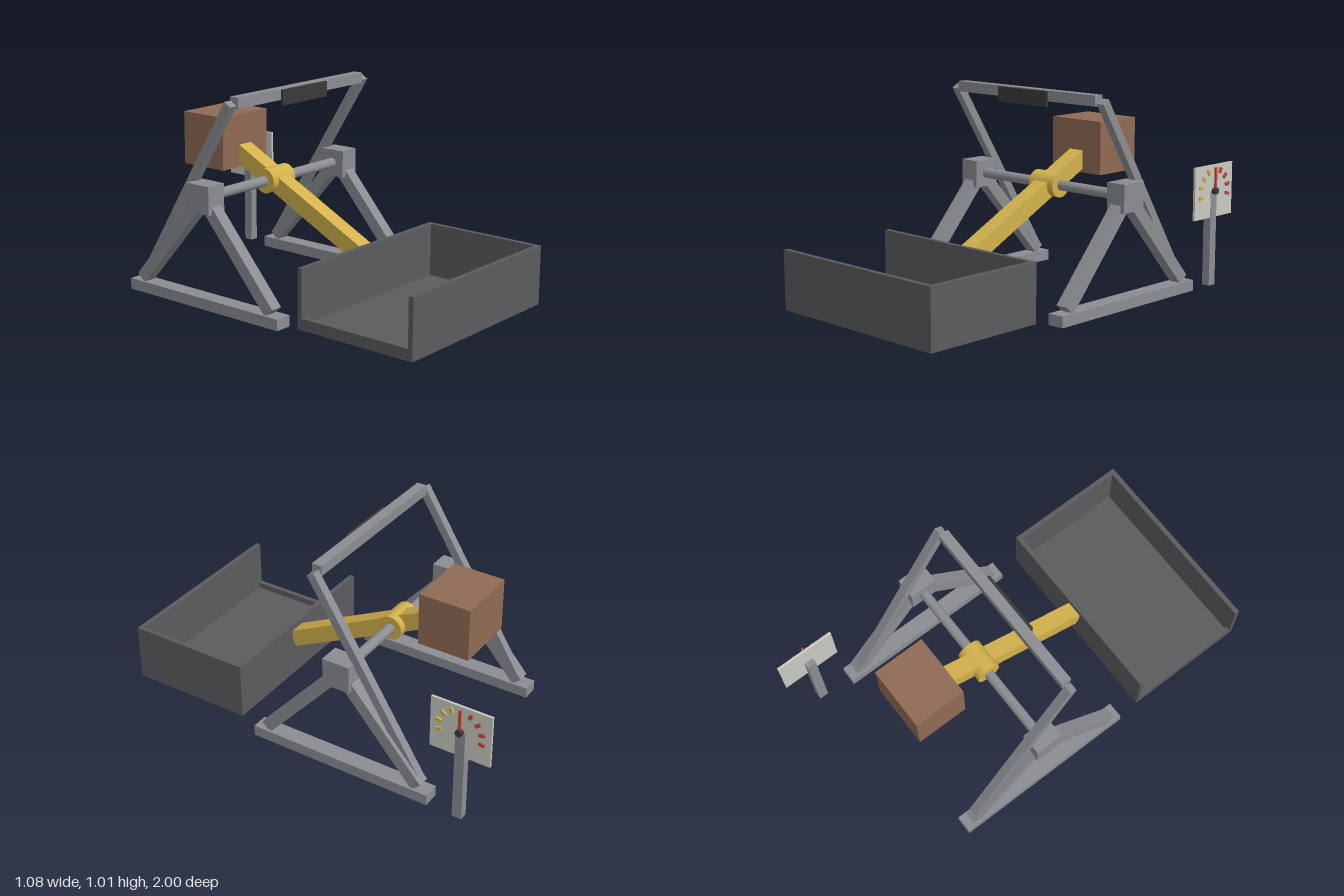
import * as THREE from 'three';

export function createModel() {
  const model = new THREE.Group();
  model.name = 'testRig';
  const mat = (name, color) => {
    const m = new THREE.MeshStandardMaterial({ color });
    m.name = name;
    return m;
  };
  const frameGray = mat('frameGray', 0x8c8d92);
  const trayGray = mat('trayGray', 0x5c5c5f);
  const padBlack = mat('padBlack', 0x3a3a3a);
  const brown = mat('weightBrown', 0x8f6b55);
  const yellow = mat('armYellow', 0xd2b14c);
  const plateWhite = mat('plateWhite', 0xcacac2);
  const red = mat('markRed', 0xc8453c);

  const CX = -0.006;                 // centre line of the frame
  const AXLE = { y: 0.533, z: -0.218 };

  const add = (name, geo, material, x, y, z, parent = model) => {
    const m = new THREE.Mesh(geo, material);
    m.name = name;
    m.position.set(x, y, z);
    parent.add(m);
    return m;
  };
  // box given by its min and max corners
  const box = (name, material, [x0, y0, z0], [x1, y1, z1], parent) =>
    add(name, new THREE.BoxGeometry(x1 - x0, y1 - y0, z1 - z0), material,
      (x0 + x1) / 2, (y0 + y1) / 2, (z0 + z1) / 2, parent);
  // square beam between two [y, z] points
  const beam = (name, material, x, w, [y0, z0], [y1, z1], parent) => {
    const m = add(name, new THREE.BoxGeometry(w, Math.hypot(y1 - y0, z1 - z0), w), material,
      x, (y0 + y1) / 2, (z0 + z1) / 2, parent);
    m.rotation.x = Math.atan2(z1 - z0, y1 - y0);
    return m;
  };
  // cylinder lying along x
  const rod = (name, material, r, length, x, y, z, parent) => {
    const m = add(name, new THREE.CylinderGeometry(r, r, length, 20), material, x, y, z, parent);
    m.rotation.z = Math.PI / 2;
    return m;
  };

  // Side frames: foot rail, two legs, bearing block and leaning upright
  for (const s of [-1, 1]) {
    const side = new THREE.Group();
    side.name = s > 0 ? 'leftFrame' : 'rightFrame';
    model.add(side);
    const x = CX + s * 0.486;
    box('footRail', frameGray, [x - 0.042, 0, -0.695], [x + 0.042, 0.054, 0.258], side);
    beam('frontLeg', frameGray, x, 0.061, [0.066, 0.196], [AXLE.y, AXLE.z], side);
    beam('backLeg', frameGray, x, 0.061, [0.066, -0.632], [AXLE.y, AXLE.z], side);
    box('bearingBlock', frameGray, [x - 0.052, 0.465, AXLE.z - 0.07], [x + 0.052, 0.601, AXLE.z + 0.07], side);
    beam('upright', frameGray, CX + s * 0.475, 0.042, [0.07, -0.633], [0.987, -0.062], side);
  }

  // Top stop bar with its pad
  box('crossbar', frameGray, [-0.454, 0.963, -0.09], [0.442, 1.014, -0.04]);
  box('stopPad', padBlack, [-0.164, 0.938, -0.04], [0.152, 1.011, -0.025]);

  // Axle, collar, throwing arm and counterweight
  rod('axle', frameGray, 0.025, 0.95, CX, AXLE.y, AXLE.z);
  rod('collar', yellow, 0.061, 0.157, CX, AXLE.y, AXLE.z);
  beam('arm', yellow, CX, 0.084, [0.24, 0.369], [0.696, -0.546]);
  box('counterweight', brown, [-0.164, 0.567, -0.677], [0.152, 0.83, -0.416]);

  // Tray, open at one end above a low lip
  const tray = new THREE.Group();
  tray.name = 'tray';
  model.add(tray);
  const [x0, x1, y0, y1, z0, z1, t] = [-0.523, 0.467, 0.032, 0.317, 0.37, 1, 0.024];
  box('floor', trayGray, [x0, y0, z0], [x1, y0 + t, z1], tray);
  box('backWall', trayGray, [x0, y0 + t, z0], [x1, y1, z0 + t], tray);
  box('frontWall', trayGray, [x0, y0 + t, z1 - t], [x1, y1, z1], tray);
  box('endWall', trayGray, [x1 - t, y0 + t, z0 + t], [x1, y1, z1 - t], tray);
  box('endLip', trayGray, [x0, y0 + t, z0 + t], [x0 + t, y0 + 0.055, z1 - t], tray);

  // Gauge on a post, dial facing +x
  const gauge = new THREE.Group();
  gauge.name = 'gauge';
  model.add(gauge);
  const GY = 0.48, GZ = -0.85;
  box('post', frameGray, [0.479, 0, GZ - 0.024], [0.5205, 0.477, GZ + 0.024], gauge);
  box('plate', plateWhite, [0.507, 0.347, -1], [0.519, 0.61, -0.7], gauge);
  for (let i = -4; i <= 4; i++) {
    if (i === 0) continue;           // the needle covers the middle mark
    const a = i * 0.45, r = 0.108;
    const tick = add('tick', new THREE.BoxGeometry(0.009, 0.028, 0.016), i > 0 ? yellow : red,
      0.5235, GY + r * Math.cos(a), GZ + r * Math.sin(a), gauge);
    tick.rotation.x = a;
  }
  box('needle', red, [0.526, GY, GZ - 0.006], [0.535, 0.598, GZ + 0.006], gauge);
  rod('hub', padBlack, 0.017, 0.022, 0.529, GY, GZ, gauge);

  return model;
}
